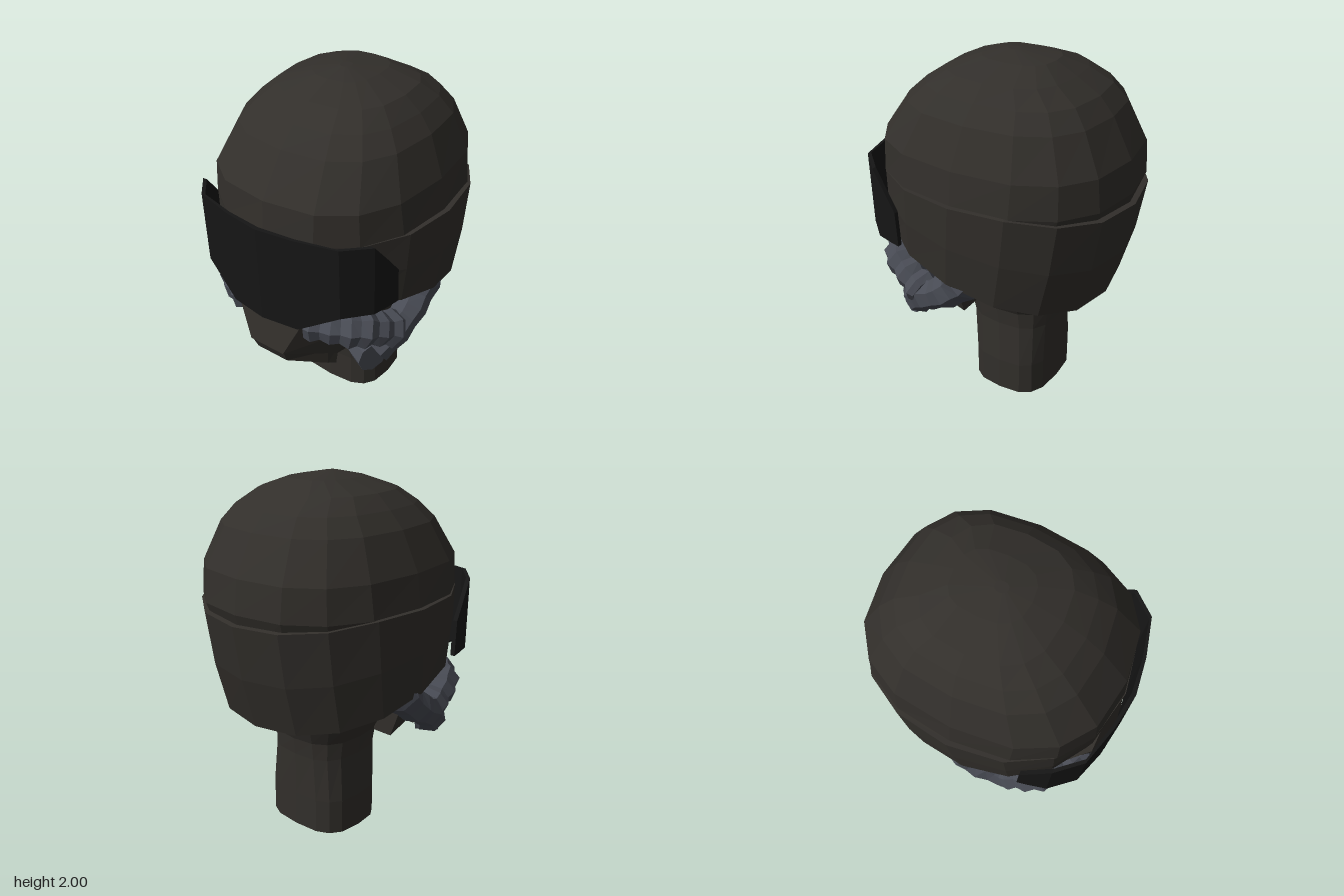
import * as THREE from 'three';

const V = (x, y, z) => new THREE.Vector3(x, y, z);
const material = (color) => new THREE.MeshStandardMaterial({ color, flatShading: true });

// Skin a list of closed rings (counter-clockwise about the loft direction).
function loft(rings, loop = false) {
  const out = [];
  const tri = (...pts) => pts.forEach((p) => out.push(p.x, p.y, p.z));
  const n = rings[0].length;
  const last = loop ? rings.length : rings.length - 1;
  for (let j = 0; j < last; j++) {
    const a = rings[j], b = rings[(j + 1) % rings.length];
    for (let i = 0; i < n; i++) {
      const k = (i + 1) % n;
      tri(a[i], a[k], b[k]);
      tri(a[i], b[k], b[i]);
    }
  }
  if (!loop) {
    const centre = (r) => r.reduce((s, p) => s.add(p), V(0, 0, 0)).divideScalar(n);
    const first = rings[0], end = rings[rings.length - 1];
    const c0 = centre(first), c1 = centre(end);
    for (let i = 0; i < n; i++) {
      const k = (i + 1) % n;
      tri(c0, first[k], first[i]);
      tri(c1, end[i], end[k]);
    }
  }
  const g = new THREE.BufferGeometry();
  g.setAttribute('position', new THREE.Float32BufferAttribute(out, 3));
  g.computeVertexNormals();
  return g;
}

// Rounded plan outline; y may be a number or a function of z, a lower power is boxier.
function planRing(y, w, zFront, zBack, power = 0.9, sides = 16) {
  const soft = (v) => Math.sign(v) * Math.abs(v) ** power;
  const mid = (zFront + zBack) / 2, half = (zFront - zBack) / 2;
  return Array.from({ length: sides }, (_, i) => {
    const a = (i / sides) * Math.PI * 2;
    const z = mid + half * soft(Math.cos(a));
    return V(w * soft(Math.sin(a)), typeof y === 'function' ? y(z) : y, z);
  });
}

// Complete a half outline (front to back on +x) with its mirror image.
const mirrorRing = (half) => [
  ...half.map((p) => V(...p)),
  ...half.slice().reverse().map(([x, y, z]) => V(-x, y, z)),
];

// Ribbed low-poly hose with slightly uneven rings.
function hose(points, side, radii, count, rib, sides = 7) {
  const curve = new THREE.CatmullRomCurve3(points.map(([x, y, z]) => V(x * side, y, z)));
  const frames = curve.computeFrenetFrames(count, false);
  const rings = [];
  for (let j = 0; j <= count; j++) {
    const t = j / count, c = curve.getPointAt(t);
    const base = THREE.MathUtils.lerp(radii[0], radii[1], t) * (j % 2 ? 1 + rib : 1 - rib);
    rings.push(Array.from({ length: sides }, (_, i) => {
      const a = (i / sides) * Math.PI * 2;
      const r = base * (1 + 0.09 * Math.sin(i * 12.9 + j * 7.3));
      return c.clone()
        .addScaledVector(frames.normals[j], r * Math.cos(a))
        .addScaledVector(frames.binormals[j], r * Math.sin(a));
    }));
  }
  return loft(rings);
}

export function createModel() {
  const model = new THREE.Group();
  const shell = material(0x322f2b), dark = material(0x161616), rubber = material(0x484b54);
  const add = (name, geometry, mat, parent = model) => {
    const mesh = new THREE.Mesh(geometry, mat);
    mesh.name = name;
    parent.add(mesh);
    return mesh;
  };

  // Neck flaring into the head, then the dome: [y, half width, front z, back z, power]
  const levels = [
    [0, 0.275, 0.15, -0.32, 0.65], [0.2, 0.275, 0.15, -0.32, 0.65], [0.45, 0.252, 0.18, -0.32, 0.7],
    [0.55, 0.26, 0.21, -0.33, 0.75], [0.68, 0.33, 0.25, -0.38, 0.82], [0.81, 0.45, 0.42, -0.46],
    [0.9, 0.54, 0.62, -0.52], [1.0, 0.57, 0.655, -0.58], [1.15, 0.59, 0.66, -0.645],
    [1.36, 0.612, 0.685, -0.72, 0.83], [1.54, 0.587, 0.67, -0.7, 0.78],
    [1.75, 0.5, 0.52, -0.59, 0.76], [1.84, 0.425, 0.42, -0.51, 0.75], [1.915, 0.34, 0.3, -0.38, 0.74],
    [1.975, 0.17, 0.14, -0.26, 0.72], [2.0, 0.03, 0.02, -0.05],
  ];
  add('neckAndDome', loft(levels.map((l) => planRing(...l))), shell);

  // Helmet band: closed shell with slanted lower rim
  const topY = (z) => 1.365 - 0.06 * Math.max(0, (-z - 0.3) / 0.44);
  const lowY = (z) => 0.88 + 0.26 * z;
  const midY = (z) => 0.5 * topY(z) + 0.5 * lowY(z);
  const t = 0.03;
  const outer = [[lowY, 0.612, 0.66, -0.61], [midY, 0.633, 0.685, -0.69], [topY, 0.64, 0.69, -0.74]];
  const inner = outer.map(([y, w, f, b]) => [y, w - t, f - t, b + t]).reverse();
  add('helmetBand', loft([...outer, ...inner].map((l) => planRing(...l)), true), shell);

  // Visor: columns of [x, z, bottom, top] from centre to side
  const columns = [
    [0, 0.74, 0.86, 1.415], [0.21, 0.71, 0.86, 1.415], [0.435, 0.65, 1.0, 1.415],
    [0.55, 0.52, 1.0, 1.405], [0.575, 0.42, 1.0, 1.28], [0.587, 0.36, 1.0, 1.2],
  ];
  const column = ([x, z, lo, hi], s) => {
    const ix = x * 0.955, iz = z - 0.025 * (1 - x / 0.6);
    return [V(s * x, lo, z - 0.01), V(s * x, hi, z), V(s * ix, hi, iz), V(s * ix, lo, iz - 0.01)];
  };
  add('visor', loft([
    ...columns.slice().reverse().map((c) => column(c, 1)),
    ...columns.slice(1).map((c) => column(c, -1)),
  ]), dark);

  // Face mask and jaw, tapering down to the chin
  add('faceMask', loft([
    mirrorRing([[0.11, 0.645, 0.71], [0.29, 0.57, 0.47], [0.34, 0.52, 0.11]]),
    mirrorRing([[0.2, 0.84, 0.675], [0.4, 0.78, 0.43], [0.42, 0.72, 0.1]]),
    mirrorRing([[0.26, 1.02, 0.65], [0.49, 1.02, 0.42], [0.5, 0.95, 0.1]]),
  ]), shell);

  // Chin block with a slot on its sloping underside
  add('chinBlock', loft([
    mirrorRing([[0.1, 0.565, 0.67], [0.24, 0.485, 0.49], [0.26, 0.46, 0.44]]),
    mirrorRing([[0.11, 0.65, 0.705], [0.25, 0.59, 0.5], [0.265, 0.575, 0.42]]),
  ]), shell);
  const slot = add('chinSlot', new THREE.BoxGeometry(0.42, 0.012, 0.02), dark);
  slot.position.set(0, 0.485, 0.485);

  // Breathing hoses on both sides
  for (const [name, s] of [['left', 1], ['right', -1]]) {
    const group = new THREE.Group();
    group.name = name + 'Hoses';
    model.add(group);
    add('ribbedHose', hose([[0.19, 0.83, 0.59], [0.31, 0.825, 0.55], [0.41, 0.81, 0.47],
      [0.475, 0.77, 0.37], [0.5, 0.71, 0.25]], s, [0.092, 0.1], 12, 0.1), rubber, group);
    add('rearHose', hose([[0.49, 0.92, -0.05], [0.505, 0.82, 0.04], [0.51, 0.735, 0.14],
      [0.495, 0.685, 0.24], [0.44, 0.605, 0.34]], s, [0.11, 0.09], 7, 0.06), rubber, group);
    const fitting = add('hoseFitting', new THREE.CylinderGeometry(0.08, 0.09, 0.12, 8), rubber, group);
    fitting.rotation.set(0, -0.4 * s, Math.PI / 2);
    fitting.position.set(0.415 * s, 0.58, 0.37);
  }
  return model;
}
